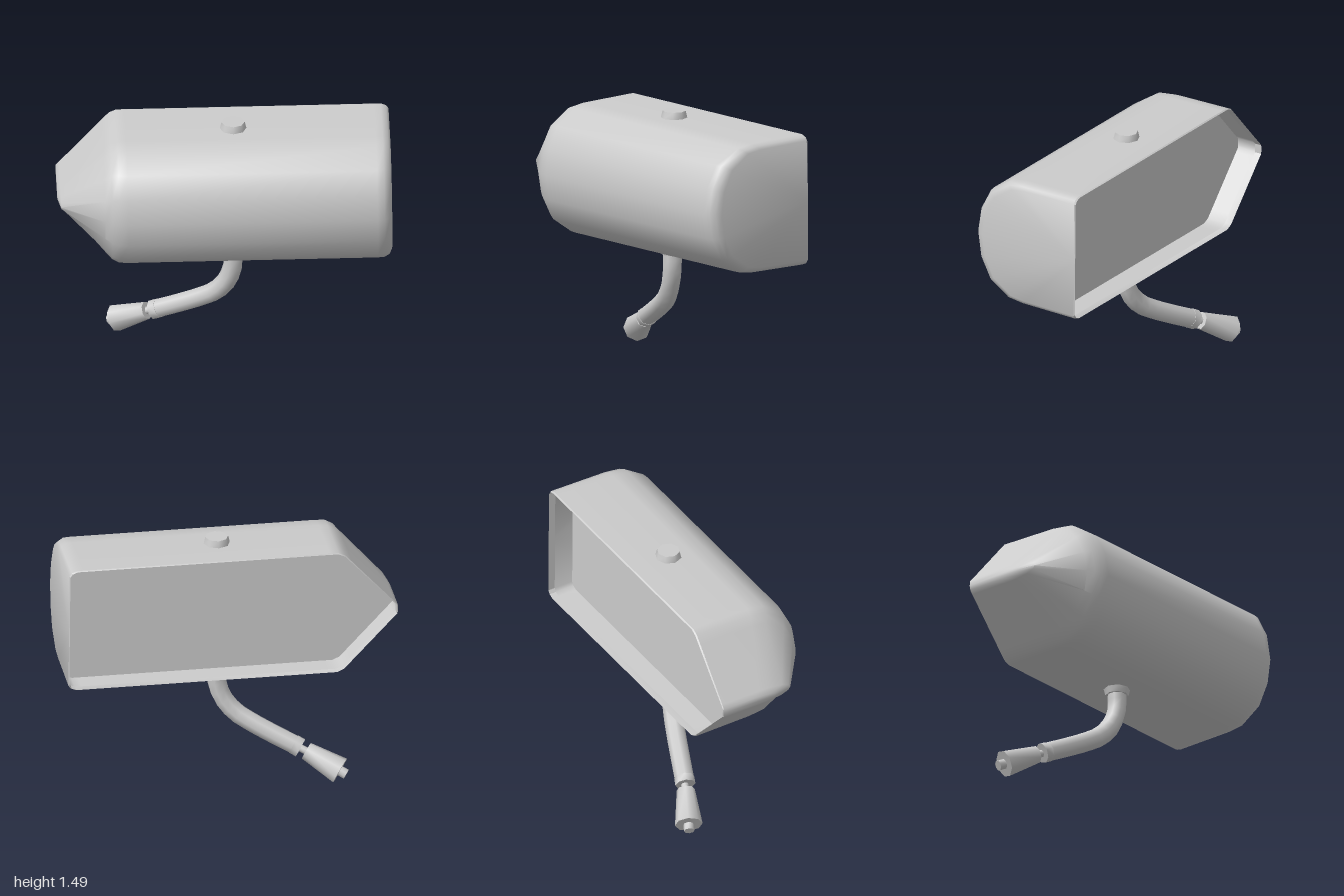
import * as THREE from 'three';
import { toCreasedNormals } from 'three/addons/utils/BufferGeometryUtils.js';

const grey = new THREE.MeshStandardMaterial({ color: 0xcccccc });
const greyDouble = new THREE.MeshStandardMaterial({ color: 0xcccccc, side: THREE.DoubleSide });

const BACK = -0.281;  // plane of the opening
const FRONT = 0.418;  // deepest point of the shell
const GLASS = -0.122; // plane of the recessed glass

// Skin a grid of rows of [x, y, z] points.
function loft(rows, crease) {
  const n = rows[0].length, index = [];
  for (let i = 0; i < rows.length - 1; i++) {
    for (let j = 0; j < n - 1; j++) {
      const a = i * n + j, b = a + n;
      index.push(a, a + 1, b, a + 1, b + 1, b);
    }
  }
  const geometry = new THREE.BufferGeometry();
  geometry.setAttribute('position', new THREE.Float32BufferAttribute(rows.flat(2), 3));
  geometry.setIndex(index);
  return toCreasedNormals(geometry, crease);
}

// D-shaped section of the shell: half height h, reaching forward to d.
function shellSection([x, h, d]) {
  const half = [[-0.272, 1], [0.1, 0.985], [0.2, 0.95], [0.33, 0.72], [0.396, 0.38]];
  const profile = [...half, [FRONT, 0], ...half.map(([z, y]) => [z, -y]).reverse()];
  const k = (d - BACK) / (FRONT - BACK);
  return profile.map(([z, y]) => [x, y * h, BACK + (z - BACK) * k]);
}

// Outline of the opening, moved inward by i.
function opening(i) {
  const lower = [[0.933 - i, -0.347 + i], [0.92 - i, -0.367 + i], [0.89 - i, -0.379 + i],
    [-0.62 + 0.4 * i, -0.379 + i], [-0.66 + 0.6 * i, -0.361 + i], [-0.965 + 1.3 * i, -0.027]];
  return [...lower, ...lower.map(([x, y]) => [x, -y]).reverse()];
}

// Round piece between two points, r0 at the start and r1 at the end, turned by spin.
function rod(name, from, to, r0, r1, spin = 0) {
  const a = new THREE.Vector3(...from), b = new THREE.Vector3(...to);
  const dir = b.clone().sub(a);
  const geometry = new THREE.CylinderGeometry(r1, r0, dir.length(), 8).rotateY(spin);
  const mesh = new THREE.Mesh(toCreasedNormals(geometry, 0.9), grey);
  mesh.position.copy(a).add(b).multiplyScalar(0.5);
  mesh.quaternion.setFromUnitVectors(new THREE.Vector3(0, 1, 0), dir.normalize());
  mesh.name = name;
  return mesh;
}

function createHead() {
  const head = new THREE.Group();
  head.name = 'mirrorHead';

  // Shell: pointed outer end, squarer inner end, closed at both.
  const stations = [[-0.965, 0, BACK], [-0.965, 0.027, 0.07], [-0.945, 0.049, 0.18],
    [-0.7, 0.317, 0.365], [-0.66, 0.361, 0.39], [-0.62, 0.379, 0.406], [-0.57, 0.379, 0.416],
    [0.85, 0.379, FRONT], [0.89, 0.379, 0.411], [0.92, 0.367, 0.39], [0.933, 0.347, 0.355],
    [0.933, 0, BACK]];
  const shell = new THREE.Mesh(loft(stations.map(shellSection), 0.85), greyDouble);
  shell.name = 'shell';

  // Rim: the shell's edge, folded a little way inward.
  const steps = [[0, -0.272], [0.004, BACK], [0.005, -0.24]];
  const rows = steps.map(([inset, z]) => {
    const loop = opening(inset).map(([x, y]) => [x, y, z]);
    return [...loop, loop[0]];
  });
  const rim = new THREE.Mesh(loft(rows, 0.5), greyDouble);
  rim.name = 'rim';

  // Flat mirror glass, set deep inside the shell
  const shape = new THREE.Shape(opening(0.003).map(([x, y]) => new THREE.Vector2(x, y)));
  const glass = new THREE.Mesh(new THREE.ShapeGeometry(shape), greyDouble);
  glass.position.z = GLASS;
  glass.name = 'mirrorGlass';

  head.add(shell, rim, glass);
  head.position.y = 1.069;
  head.rotation.set(0, 0.384, 0.01);
  return head;
}

function createArm() {
  const arm = new THREE.Group();
  arm.name = 'supportArm';

  // Bent tube
  const path = new THREE.CatmullRomCurve3([[0.028, 0.68, -0.03], [0.028, 0.57, -0.03],
    [-0.008, 0.46, -0.03], [-0.08, 0.375, -0.03], [-0.17, 0.32, -0.03], [-0.3, 0.255, -0.028],
    [-0.43, 0.195, -0.026]].map((p) => new THREE.Vector3(...p)));
  const tube = new THREE.Mesh(new THREE.TubeGeometry(path, 12, 0.056, 8), grey);
  tube.name = 'armTube';

  // Ferrule, thin pin, tapered foot and its stud
  arm.add(tube,
    rod('armFerrule', [-0.42, 0.2, -0.026], [-0.46, 0.18, -0.026], 0.058, 0.058),
    rod('armPin', [-0.44, 0.19, -0.028], [-0.51, 0.16, -0.032], 0.022, 0.022),
    rod('mountingFoot', [-0.495, 0.167, -0.03], [-0.695, 0.07, -0.046], 0.052, 0.079),
    rod('footStud', [-0.68, 0.077, -0.046], [-0.732, 0.052, -0.05], 0.03, 0.03));
  return arm;
}

export function createModel() {
  const model = new THREE.Group();
  model.name = 'wingMirror';
  model.add(createHead(), createArm(),
    rod('topBoss', [0.024, 1.445, -0.042], [0.024, 1.485, -0.042], 0.076, 0.066, Math.PI / 8),
    rod('lowerBoss', [0.028, 0.69, -0.03], [0.028, 0.653, -0.03], 0.076, 0.066, Math.PI / 8));
  return model;
}
